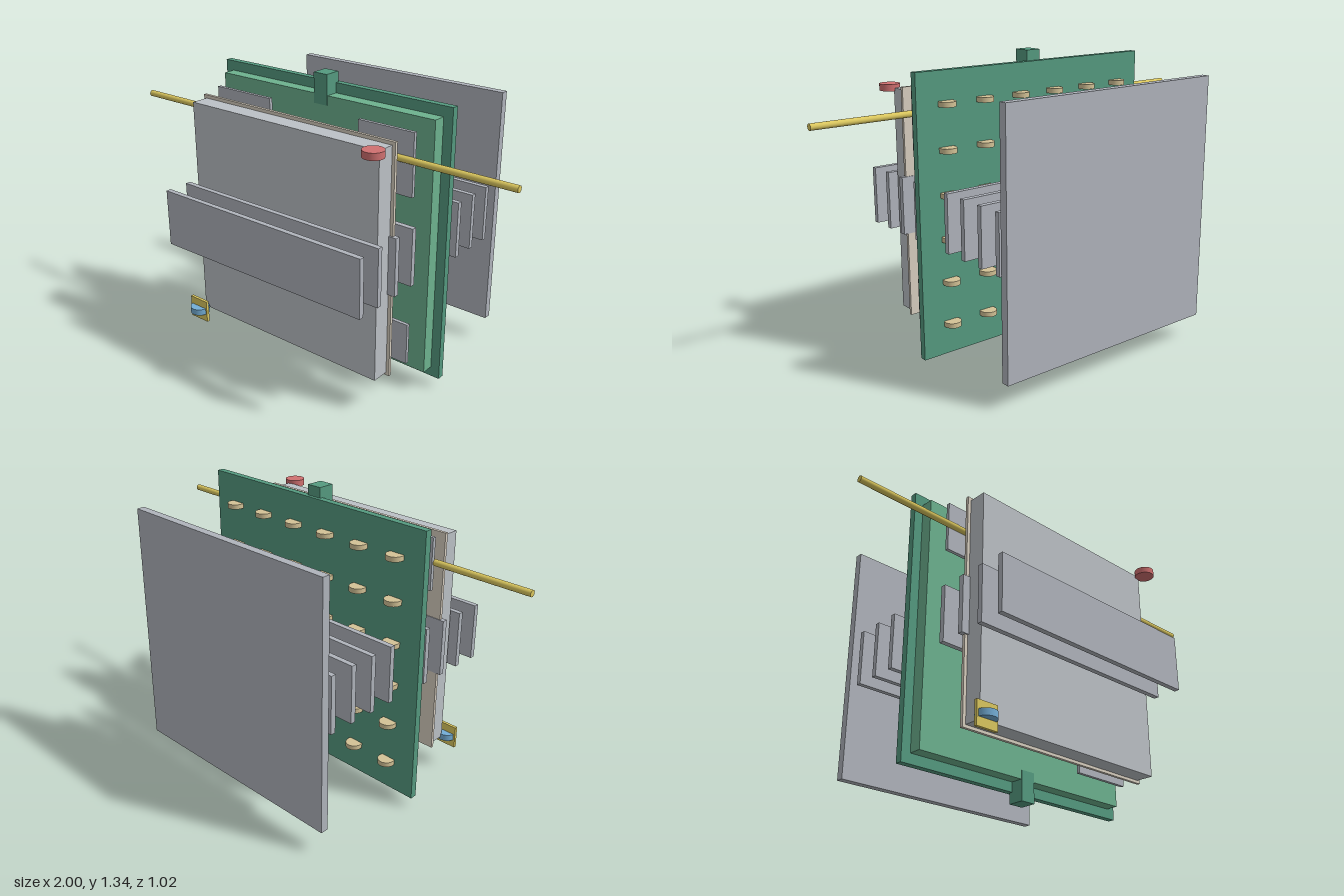
import * as THREE from 'three';

const COLORS = {
  board: 0x559a80, block: 0x6db28f, grey: 0xb0b4bc, front: 0xbcc1c6, chip: 0x858089,
  beige: 0xd8cfc0, tan: 0xd3c296, gold: 0xdcc85f, red: 0xd07070, blue: 0x74aed6,
};

export function createModel() {
  const group = new THREE.Group();
  const materials = {};
  for (const key in COLORS) materials[key] = new THREE.MeshStandardMaterial({ color: COLORS[key] });

  const add = (name, geometry, color, x, y, z) => {
    const mesh = new THREE.Mesh(geometry, materials[color]);
    mesh.name = name;
    mesh.position.set(x, y, z);
    group.add(mesh);
    return mesh;
  };
  // box given by its limits on each axis
  const slab = (name, color, [x0, x1], [y0, y1], [z0, z1]) =>
    add(name, new THREE.BoxGeometry(x1 - x0, y1 - y0, z1 - z0), color,
      (x0 + x1) / 2, (y0 + y1) / 2, (z0 + z1) / 2);

  // base board and the raised block on its front
  slab('baseBoard', 'board', [-0.62, 0.62], [0.05, 1.293], [-0.004, 0.027]);
  slab('raisedBlock', 'block', [-0.577, 0.577], [0.095, 1.248], [0.027, 0.084]);

  // clips at top and bottom centre
  slab('topClip', 'board', [-0.036, 0.036], [1.205, 1.34], [0.012, 0.088]);
  slab('bottomClip', 'board', [-0.036, 0.036], [0, 0.135], [0.012, 0.088]);

  // core and the thin tiles laid over it
  slab('core', 'chip', [-0.345, 0.345], [0.325, 1.02], [0.084, 0.151]);
  const tiles = [
    [[-0.54, -0.222], [0.975, 1.207]],
    [[0.262, 0.536], [0.937, 1.21]],
    [[0.24, 0.536], [0.165, 0.355]],
    [[-0.2, 0.22], [0.72, 0.965]],
    [[-0.25, 0.2], [0.38, 0.62]],
  ];
  tiles.forEach(([x, y]) => slab('tile', 'grey', x, y, [0.15, 0.166]));

  // front panel with its backing sheet
  slab('backingSheet', 'beige', [-0.522, 0.522], [0.15, 1.196], [0.257, 0.271]);
  slab('frontPanel', 'front', [-0.507, 0.507], [0.163, 1.181], [0.271, 0.352]);

  // rear panel
  slab('rearPanel', 'grey', [-0.56, 0.56], [0.11, 1.232], [-0.51, -0.474]);

  // evenly spaced row of horizontal fins, front to back
  for (let i = 0; i < 9; i++) {
    const z = 0.498 - i * 0.116;
    slab('fin', 'grey', [-0.543, 0.543], [0.541, 0.802], [z - 0.012, z + 0.012]);
  }

  // cross rod
  add('crossRod', new THREE.CylinderGeometry(0.0145, 0.0145, 2, 20), 'gold', 0, 1.095, 0.172)
    .rotation.z = Math.PI / 2;

  // 6 x 6 studs on the back of the board
  const stud = new THREE.CylinderGeometry(0.038, 0.038, 0.022, 24);
  for (let row = 0; row < 6; row++) {
    for (let col = 0; col < 6; col++) {
      add('stud', stud, 'tan', (col - 2.5) * 0.1925, 0.193 + row * 0.1928, -0.019);
    }
  }

  // corner knobs and the small plate around the lower one
  const knob = new THREE.CylinderGeometry(0.045, 0.045, 0.03, 32);
  add('upperKnob', knob, 'red', 0.506, 1.182, 0.39);
  add('lowerKnob', knob, 'blue', -0.508, 0.164, 0.39);
  slab('lowerKnobPlate', 'gold', [-0.561, -0.456], [0.111, 0.217], [0.383, 0.397]);

  return group;
}
